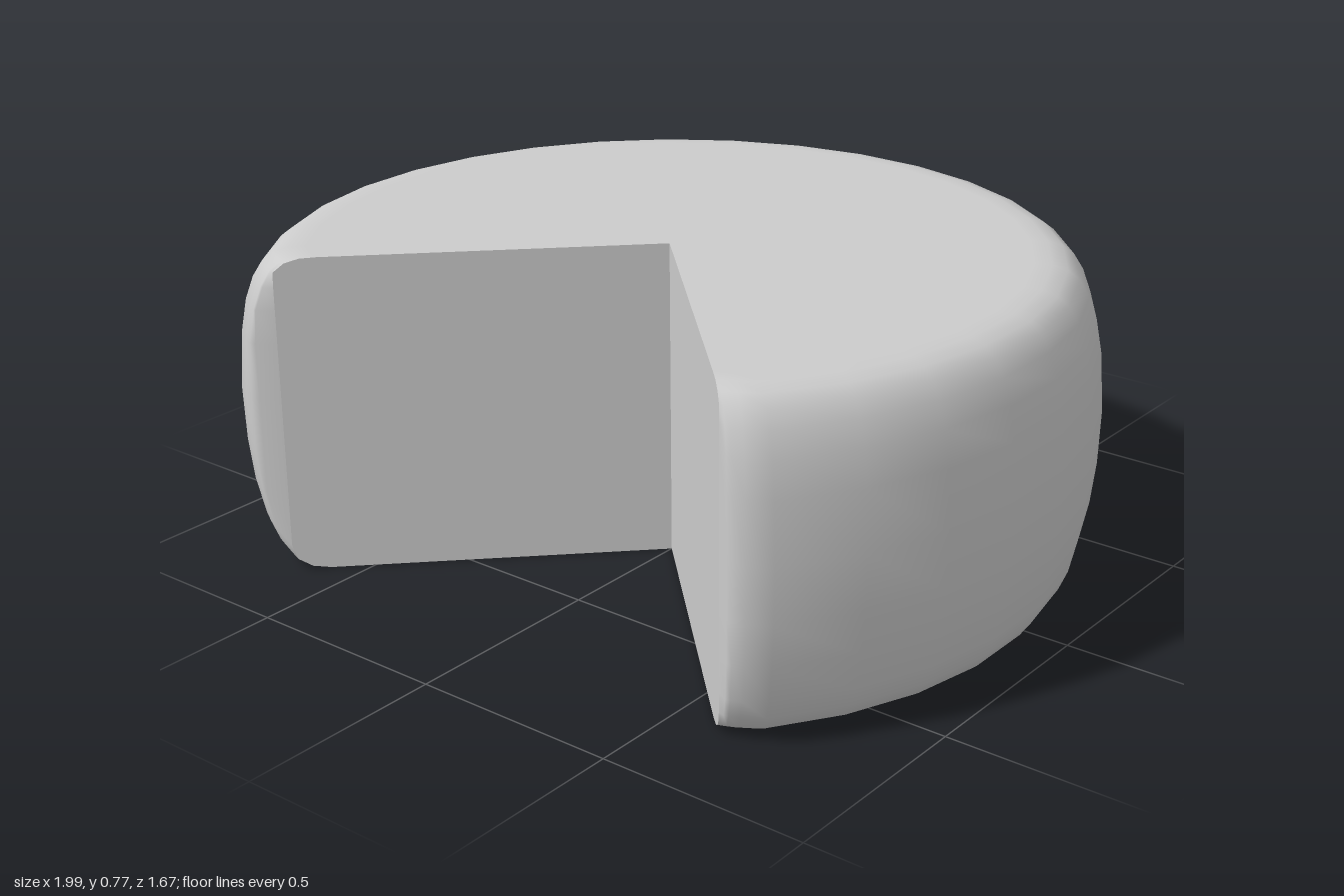
import * as THREE from 'three';

const CENTER_Z = 0.157;
const rad = THREE.MathUtils.degToRad;

// Half section of the wheel, from the top centre round the bulging rim to the bottom centre
const PROFILE = [
  [0, 0.775], [0.83, 0.775], [0.87, 0.773], [0.905, 0.763], [0.932, 0.742], [0.955, 0.705],
  [0.975, 0.65], [0.99, 0.57], [1, 0.43], [0.996, 0.3], [0.985, 0.2], [0.965, 0.11],
  [0.945, 0.062], [0.92, 0.026], [0.885, 0.006], [0.84, 0], [0, 0],
];

// Rounded corner next to each cut: angle from the front, radius scale, radius limit
const CORNER = [[45, 0.965, 0.9], [45.5, 0.968, 0.95], [46.1, 0.973, 0.968], [47.5, 0.983, 1]];

function stations() {
  const list = [...CORNER];
  for (let k = 0; k < 24; k++) list.push([50.625 + k * 11.25, 1, 1]);
  for (const [a, s, m] of [...CORNER].reverse()) list.push([360 - a, s, m]);
  return list;
}

function section([angle, scale, limit]) {
  const a = rad(angle);
  return PROFILE.map(([r, y]) => {
    const q = Math.min(r * scale, limit);
    return [q * Math.sin(a), y, CENTER_Z + q * Math.cos(a)];
  });
}

function buildGeometry(points, index) {
  const g = new THREE.BufferGeometry();
  g.setAttribute('position', new THREE.Float32BufferAttribute(points.flat(), 3));
  g.setIndex(index);
  g.computeVertexNormals();
  return g;
}

export function createModel() {
  const group = new THREE.Group();
  group.name = 'cutWheel';
  const material = new THREE.MeshStandardMaterial({ color: 0xcccccc });
  const add = (name, geometry) => {
    const mesh = new THREE.Mesh(geometry, material);
    mesh.name = name;
    group.add(mesh);
  };

  // Top, rim and bottom as one smooth swept skin
  const rings = stations().map(section);
  const n = PROFILE.length;
  const index = [];
  for (let i = 0; i < rings.length - 1; i++) {
    for (let j = 0; j < n - 1; j++) {
      const a = i * n + j, b = a + n;
      if (j < n - 2) index.push(a, a + 1, b + 1);
      if (j > 0) index.push(a, b + 1, b);
    }
  }
  add('rind', buildGeometry(rings.flat(), index));

  // Flat faces where the wedge was removed
  const cutFace = (ring, flip) => {
    const faces = [];
    for (let j = 1; j < n - 1; j++) faces.push(0, ...(flip ? [j + 1, j] : [j, j + 1]));
    return buildGeometry(ring, faces);
  };
  add('leftCutFace', cutFace(rings[0], true));
  add('rightCutFace', cutFace(rings[rings.length - 1], false));

  return group;
}
